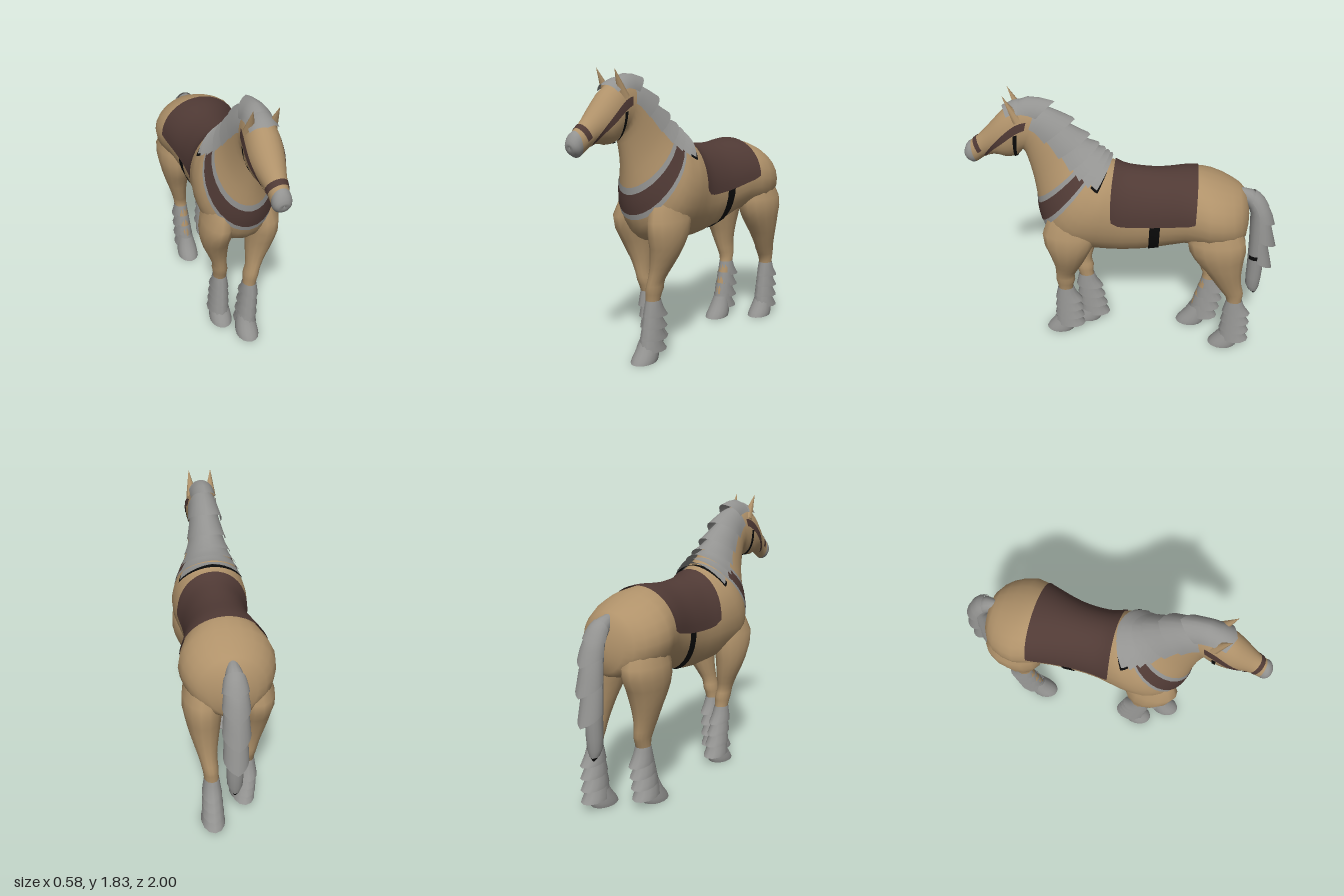
import * as THREE from 'three';
import { mergeVertices } from 'three/addons/utils/BufferGeometryUtils.js';

const mat = (name, color) => new THREE.MeshStandardMaterial({ name, color, side: THREE.DoubleSide });
const PI = Math.PI;

// Smooth tube surface through rings [za, ya, zb, yb, halfWidth, x]:
// a and b are the two profile points of a ring, o pushes the surface outward.
function surface(rings) {
  const last = rings.length - 1;
  const ringAt = (u) => {
    const i = Math.min(Math.floor(u), last - 1), f = u - i;
    const [p, q, r, s] = [i - 1, i, i + 1, i + 2].map((k) => rings[Math.max(0, Math.min(last, k))]);
    return q.map((_, k) => q[k] + 0.5 * f * (r[k] - p[k] +
      f * (2 * p[k] - 5 * q[k] + 4 * r[k] - s[k] + f * (3 * (q[k] - r[k]) + s[k] - p[k]))));
  };
  const at = (u, a, o = 0) => {
    const [za, ya, zb, yb, w, x = 0] = ringAt(u);
    const dz = (zb - za) / 2, dy = (yb - ya) / 2, h = Math.hypot(dz, dy) || 1;
    const k = Math.sin(a) * (1 + o / h);
    return [x + (w + o) * Math.cos(a), (ya + yb) / 2 + dy * k, (za + zb) / 2 + dz * k];
  };
  return { at, last };
}

// Grid on a surface: f(s, t) gives [u, angle, offset]
function patch(surf, ns, nt, f) {
  const pos = [], index = [];
  for (let j = 0; j <= nt; j++)
    for (let i = 0; i <= ns; i++) pos.push(...surf.at(...f(i / ns, j / nt)));
  for (let j = 0; j < nt; j++)
    for (let i = 0; i < ns; i++) {
      const a = j * (ns + 1) + i, c = a + ns + 1;
      index.push(a, a + 1, c + 1, a, c + 1, c);
    }
  const g = new THREE.BufferGeometry();
  g.setAttribute('position', new THREE.Float32BufferAttribute(pos, 3));
  g.setIndex(index);
  const merged = mergeVertices(g, 1e-5);
  merged.computeVertexNormals();
  return merged;
}

const tube = (surf, u0 = 0, u1 = surf.last, n = 20) =>
  patch(surf, n, Math.max(1, Math.round((u1 - u0) * 2)), (s, t) => [u0 + (u1 - u0) * t, s * 2 * PI, 0]);

// Flared, pointed scale lying on a surface; root and tip are u positions
const scale = (surf, root, tip, mid, spread, flare, point) =>
  patch(surf, 12, 3, (s, t) => {
    const c = 1 - Math.abs(2 * s - 1);
    const u = root + (tip - root) * t + Math.sign(tip - root) * point * c * t;
    const a = mid + (2 * s - 1) * spread;
    return [Math.max(0, Math.min(surf.last, u)), a, 0.008 + t * (0.01 + flare * c)];
  });

export function createModel() {
  const coat = mat('tan coat', 0xb0926a);
  const hair = mat('grey hair', 0x939391);
  const leather = mat('brown leather', 0x503a35);
  const black = mat('black strap', 0x0b0b0b);

  const model = new THREE.Group();
  model.name = 'horse';
  const add = (name, geometry, material, parent = model) => {
    const m = new THREE.Mesh(geometry, material);
    m.name = name;
    parent.add(m);
    return m;
  };

  // Trunk, neck and head in one sweep from rump to muzzle
  const body = surface([
    [-0.805, 1.02, -0.805, 1.03, 0.005], [-0.79, 0.88, -0.77, 1.19, 0.14], [-0.72, 0.84, -0.68, 1.255, 0.24],
    [-0.55, 0.83, -0.55, 1.31, 0.288], [-0.4, 0.83, -0.42, 1.335, 0.25], [-0.2, 0.765, -0.22, 1.32, 0.208],
    [0, 0.735, -0.03, 1.335, 0.205], [0.2, 0.75, 0.06, 1.365, 0.24], [0.4, 0.77, 0.1, 1.37, 0.25],
    [0.5, 0.87, 0.13, 1.39, 0.235], [0.545, 1.0, 0.17, 1.42, 0.195], [0.56, 1.14, 0.22, 1.46, 0.155],
    [0.575, 1.26, 0.29, 1.53, 0.12], [0.6, 1.38, 0.39, 1.63, 0.098], [0.625, 1.45, 0.5, 1.72, 0.09],
    [0.66, 1.41, 0.62, 1.765, 0.1], [0.73, 1.395, 0.73, 1.71, 0.1], [0.8, 1.41, 0.81, 1.63, 0.083],
    [0.87, 1.39, 0.885, 1.55, 0.062], [0.92, 1.355, 0.945, 1.5, 0.054], [0.95, 1.345, 0.98, 1.475, 0.055],
    [0.985, 1.37, 1.0, 1.43, 0.035], [0.99, 1.4, 0.995, 1.41, 0.004],
  ]);
  add('body', tube(body, 0, 19.2, 24), coat);
  add('muzzle', tube(body, 19.2, 22, 24), hair);

  // Saddle cloth with rounded lower corners, and its girth
  add('saddleCloth', patch(body, 20, 10, (s, t) => {
    const a0 = -0.04 + 0.1 * Math.pow(Math.abs(2 * t - 1), 8);
    const a = a0 + (PI - 2 * a0) * s;
    const front = 6.55 + 0.45 * Math.sin(a);
    return [3.72 + (front - 3.72) * t, a, 0.008];
  }), leather);
  add('girth', patch(body, 16, 1, (s, t) => [4.86 + 0.33 * t, -PI + PI * s, 0.006]), black);

  // Breast collar with grey borders
  const collar = (u0, u1, o) => patch(body, 20, 4, (s, t) => [u0 + (u1 - u0) * t, -PI / 2 + (2 * s - 1) * 2.25, o]);
  add('collarBorder', collar(9.45, 10.9, 0.004), hair);
  add('collar', collar(9.72, 10.62, 0.008), leather);

  // Bridle: nose piece, cheek straps and throat strap
  add('noseband', patch(body, 14, 1, (s, t) => {
    const a = -0.2 + s * (PI + 0.4);
    return [18.1 + 0.35 * Math.sin(a) + 0.45 * t, a, 0.004];
  }), leather);
  for (const side of [1, -1])
    add('cheekStrap', patch(body, 2, 10, (s, t) => {
      const a = 0.3 * t * t - 0.85 * Math.pow(1 - t, 3) + (s - 0.5) * 0.32;
      return [17.9 - 3.4 * t, side > 0 ? a : PI - a, 0.004];
    }), leather);
  add('throatStrap', patch(body, 14, 1, (s, t) => [15 + 0.28 * t, -PI + PI * s, 0.005]), black);

  // Ears
  for (const side of [1, -1]) {
    const ear = add('ear', new THREE.ConeGeometry(0.038, 0.18, 8), coat);
    ear.scale.z = 0.85;
    ear.position.set(side * 0.068, 1.745, 0.675);
    ear.rotation.set(0.45, 0, -side * 0.06);
  }

  // Layered mane from poll to withers, narrow between the ears, and the forelock
  const layers = 7;
  add('maneTrim', scale(body, 8.9, 7.95, PI / 2, 0.9, 0.01, 0.15), black);
  for (let i = 0; i < layers; i++) {
    const k = i / (layers - 1), root = 15.2 - 5.9 * k;
    const spread = i === 0 ? 0.85 : 1.45 - 0.6 * k;
    add('maneLayer', scale(body, root, root - 1.15, PI / 2, spread, 0.07 - 0.03 * k, 0.4), hair);
  }
  add('forelock', scale(body, 14.9, 15.7, PI / 2, 0.8, 0.01, 0.4), hair);

  // Tail with overlapping locks
  const tail = surface([
    [-0.72, 1.22, -0.72, 1.14, 0.03], [-0.81, 1.205, -0.78, 1.1, 0.052], [-0.88, 1.13, -0.81, 1.04, 0.06],
    [-0.915, 1.0, -0.815, 0.98, 0.06], [-0.925, 0.8, -0.825, 0.8, 0.058], [-0.935, 0.6, -0.83, 0.6, 0.052],
    [-0.925, 0.43, -0.835, 0.45, 0.045], [-0.9, 0.37, -0.88, 0.39, 0.008],
  ]);
  add('tail', tube(tail, 0, 6.4, 14), hair);
  add('tailTip', tube(tail, 6.4, 7, 14), black);
  add('tailBand', patch(tail, 6, 1, (s, t) => [4.4 + 0.15 * t, -0.6 + s * 1.6, 0.004]), black);
  for (const [root, flare] of [[1.2, 0.012], [2.0, 0.04], [2.8, 0.058], [3.7, 0.042]])
    add('tailLock', scale(tail, root, root + 0.9, -PI / 2, 1.5, flare, 0.4), hair);

  // Legs: rows of [y, zBack, zFront, x, halfWidth]
  const foreRows = [
    [1.15, 0.24, 0.42, 0.1, 0.05], [0.92, 0.17, 0.52, 0.145, 0.098], [0.75, 0.23, 0.485, 0.145, 0.092],
    [0.62, 0.29, 0.46, 0.12, 0.065], [0.53, 0.335, 0.462, 0.1, 0.047], [0.47, 0.335, 0.465, 0.09, 0.05],
    [0.4, 0.355, 0.455, 0.083, 0.043], [0.2, 0.365, 0.45, 0.072, 0.04], [0.08, 0.365, 0.46, 0.066, 0.04],
  ];
  const hindRows = [
    [1.15, -0.66, -0.46, 0.13, 0.06], [0.92, -0.785, -0.41, 0.155, 0.12], [0.78, -0.785, -0.46, 0.155, 0.11],
    [0.66, -0.78, -0.55, 0.15, 0.085], [0.55, -0.79, -0.62, 0.14, 0.06], [0.47, -0.81, -0.67, 0.128, 0.05],
    [0.4, -0.805, -0.705, 0.122, 0.045], [0.2, -0.8, -0.71, 0.115, 0.04], [0.08, -0.8, -0.7, 0.11, 0.04],
  ];

  function leg(name, rows, side, dz, dx) {
    const group = new THREE.Group();
    group.name = name;
    model.add(group);
    // Shift the lower leg for the stride
    const posed = rows.map(([y, zb, zf, x, w]) => {
      const k = Math.max(0, Math.min(1.35, (0.92 - y) / 0.55));
      return [zb + dz * k, y, zf + dz * k, y, w, side * x + dx * k];
    });
    add('limb', tube(surface(posed), 0, posed.length - 1, 14), coat, group);

    const centre = (y) => {
      const p = posed[6], q = posed[8], k = (0.4 - y) / 0.32;
      const mid = (r) => (r[0] + r[2]) / 2;
      return [mid(p) + (mid(q) - mid(p)) * k, p[5] + (q[5] - p[5]) * k];
    };
    // Feathering in flared layers, drawn out at the back
    for (let i = 0; i < 4; i++) {
      const y = 0.4 - 0.078 * i, [z, x] = centre(y), g = 0.004 * i;
      add('featherLayer', tube(surface([
        [z - 0.055 - g, y, z + 0.053 + g, y, 0.046 + g, x],
        [z - 0.078 - g, y - 0.06, z + 0.064 + g, y - 0.05, 0.054 + g, x],
        [z - 0.118 - g, y - 0.115, z + 0.075 + g, y - 0.1, 0.062 + g, x],
      ]), 0, 2, 12), hair, group);
    }
    // Hoof with a dark sole
    const [z, x] = centre(0.08);
    const hoofRing = (y, back, front, w) => [z + back, y, z + front, y, w, x];
    add('hoof', tube(surface([
      hoofRing(0.15, -0.05, 0.055, 0.05), hoofRing(0.09, -0.06, 0.085, 0.064),
      hoofRing(0.03, -0.06, 0.13, 0.074), hoofRing(0, -0.05, 0.148, 0.074),
    ]), 0, 3, 16), hair, group);
    add('soleRim', tube(surface([hoofRing(0, -0.05, 0.148, 0.074), hoofRing(0, -0.015, 0.11, 0.045)]), 0, 1, 16), hair, group);
    add('sole', tube(surface([hoofRing(0, -0.015, 0.11, 0.045), hoofRing(0, 0.048, 0.05, 0.001)]), 0, 1, 16), leather, group);
  }
  leg('frontLeftLeg', foreRows, 1, 0, -0.028);
  leg('frontRightLeg', foreRows, -1, -0.135, -0.024);
  leg('hindLeftLeg', hindRows, 1, 0, 0);
  leg('hindRightLeg', hindRows, -1, 0.17, 0);

  return model;
}
